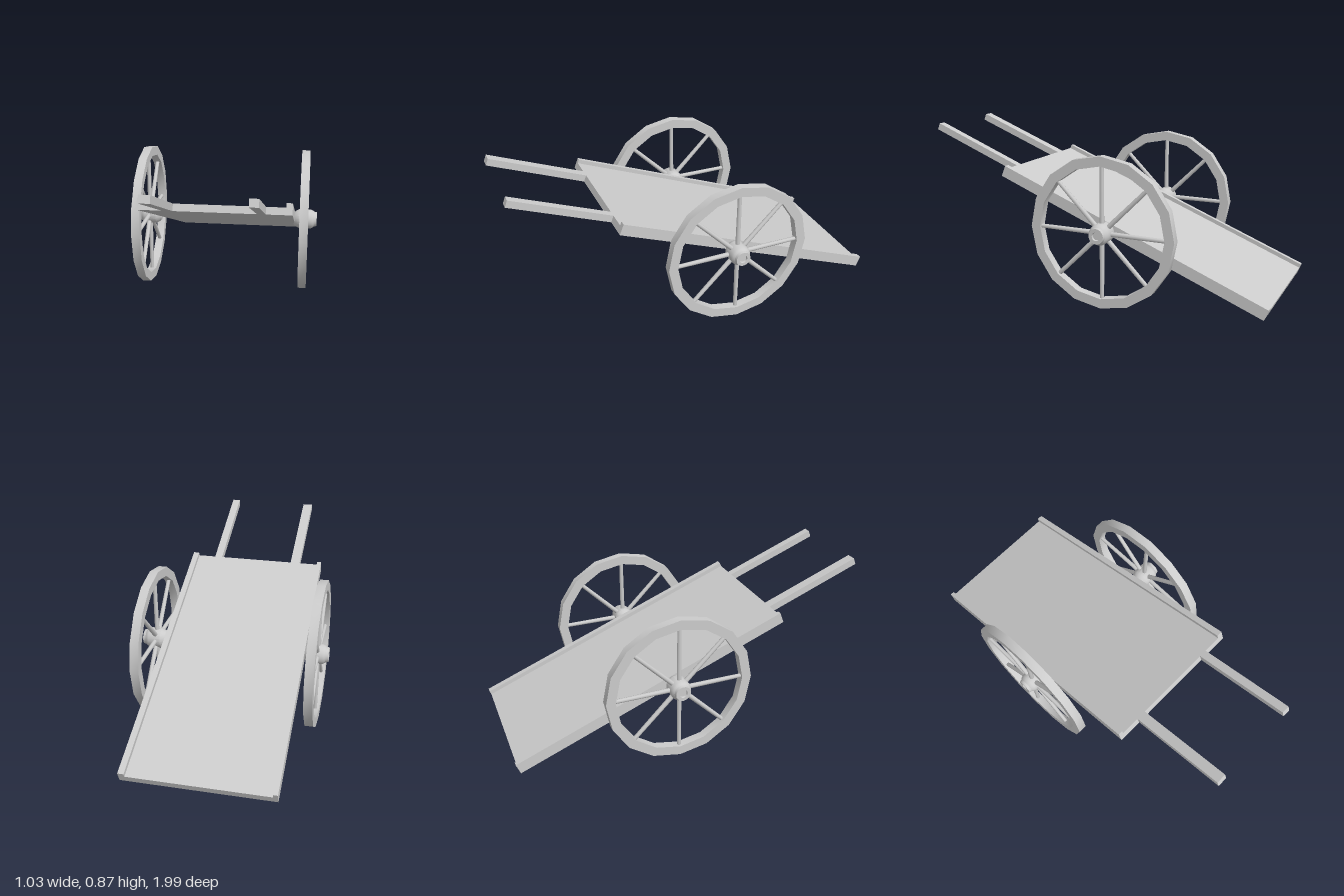
import * as THREE from 'three';
import { toCreasedNormals } from 'three/addons/utils/BufferGeometryUtils.js';

const material = new THREE.MeshStandardMaterial({ color: 0xcccccc });

function add(parent, name, geometry, x = 0, y = 0, z = 0) {
  const mesh = new THREE.Mesh(geometry, material);
  mesh.name = name;
  mesh.position.set(x, y, z);
  parent.add(mesh);
  return mesh;
}

// Box given by its x range, bottom height, z range and thickness
function plank(parent, name, x0, x1, height, z0, z1) {
  add(parent, name, new THREE.BoxGeometry(x1 - x0, height, z1 - z0),
    (x0 + x1) / 2, height / 2, (z0 + z1) / 2);
}

// Profile of [radius, offset] pairs turned around the x axis
function turned(profile, sides) {
  const points = profile.map(([r, h]) => new THREE.Vector2(r, h));
  const geometry = new THREE.LatheGeometry(points, sides).rotateZ(-Math.PI / 2);
  return toCreasedNormals(geometry, 0.5);
}

// Wheel with its outer side towards +x
function makeWheel(name, hubShift) {
  const wheel = new THREE.Group();
  wheel.name = name;

  // Rim with a rectangular section
  const w = 0.0233;
  add(wheel, 'rim', turned(
    [[0.347, -w], [0.398, -w], [0.398, w], [0.347, w], [0.347, -w]], 16));

  // Spokes
  for (let i = 0; i < 8; i++) {
    const a = (i * Math.PI) / 4;
    const spoke = add(wheel, 'spoke', new THREE.CylinderGeometry(0.011, 0.013, 0.32, 8),
      0, Math.cos(a) * 0.195, Math.sin(a) * 0.195);
    spoke.rotation.x = a;
  }

  // Rounded hub with a recessed end around the axle tip
  add(wheel, 'hub', turned([
    [0, -0.065], [0.036, -0.065], [0.045, -0.055], [0.055, -0.035],
    [0.055, 0.03], [0.05, 0.042], [0.043, 0.05], [0.04, 0.065],
    [0.022, 0.065], [0.02, 0.055], [0, 0.055],
  ], 20), hubShift);
  return wheel;
}

export function createModel() {
  const cart = new THREE.Group();
  cart.name = 'handcart';

  // Tilted bed; its origin is the middle of the underside
  const bed = new THREE.Group();
  bed.name = 'bed';
  bed.position.set(0, 0.339, -0.253);
  bed.rotation.x = -0.379;
  cart.add(bed);
  const half = 0.783;
  plank(bed, 'floor', -0.37, 0.36, 0.038, -half, half);
  plank(bed, 'rightRail', -0.392, -0.368, 0.06, -half, half);
  plank(bed, 'leftRail', 0.356, 0.388, 0.06, -half, half);

  // Handles flush with the floor
  plank(bed, 'rightHandle', -0.262, -0.208, 0.038, half, half + 0.55);
  plank(bed, 'leftHandle', 0.214, 0.257, 0.038, half, half + 0.55);

  // Wheels on either side
  const left = makeWheel('leftWheel', 0.007);
  left.position.set(0.443, 0.398, -0.15);
  const right = makeWheel('rightWheel', -0.005);
  right.position.set(-0.4585, 0.398, -0.15);
  right.rotation.y = Math.PI;
  cart.add(left, right);
  return cart;
}
